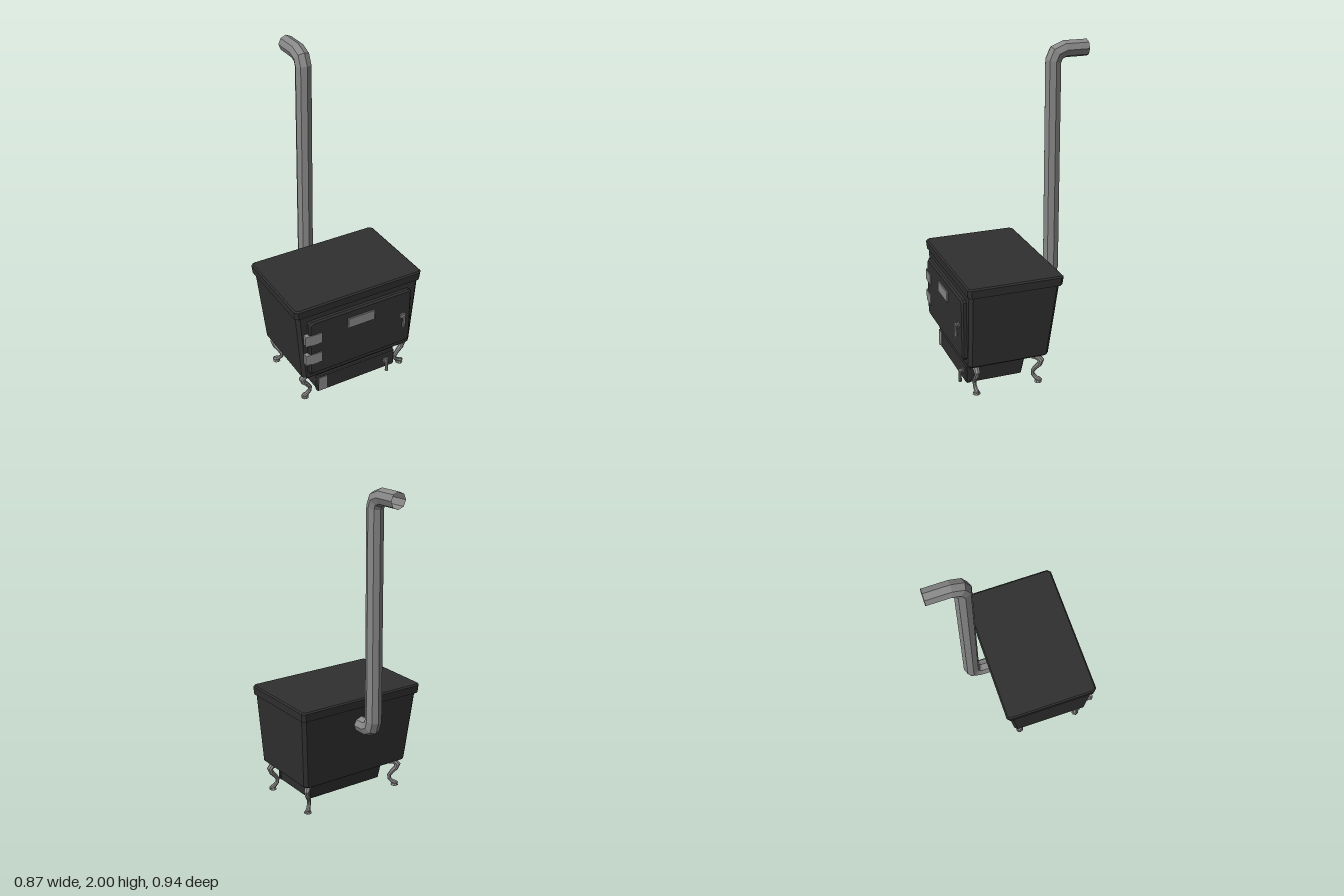
import * as THREE from 'three';

const iron = new THREE.MeshStandardMaterial({ color: 0x303030, flatShading: true });
iron.name = 'blackIron';
const steel = new THREE.MeshStandardMaterial({ color: 0x888888, flatShading: true, side: THREE.DoubleSide });
steel.name = 'greySteel';

// Skin a list of equal-sized rings, counter-clockwise seen from the advancing end
function skin(rings, capped = true) {
  const n = rings[0].length, index = [];
  rings.forEach((_, i) => {
    if (i === rings.length - 1) return;
    for (let j = 0; j < n; j++) {
      const a = i * n + j, b = i * n + (j + 1) % n;
      index.push(a, b, b + n, a, b + n, a + n);
    }
  });
  const last = (rings.length - 1) * n;
  if (capped) for (let j = 1; j < n - 1; j++) {
    index.push(0, j + 1, j, last, last + j, last + j + 1);
  }
  const g = new THREE.BufferGeometry();
  g.setAttribute('position', new THREE.Float32BufferAttribute(rings.flat(2), 3));
  g.setIndex(index);
  const flat = g.toNonIndexed();
  flat.computeVertexNormals();
  return flat;
}

// Horizontal rectangle with cut corners
function rect(y, hx, z0, z1, c) {
  return [[c - hx, z1], [hx - c, z1], [hx, z1 - c], [hx, z0 + c],
    [hx - c, z0], [c - hx, z0], [-hx, z0 + c], [-hx, z1 - c]].map(([x, z]) => [x, y, z]);
}

// Mitred sweep of a polygon along points [x, y, radius] in the xy plane
function sweep(points, sides, capped) {
  const dir = (a, b) => new THREE.Vector2(b[0] - a[0], b[1] - a[1]).normalize();
  const rings = points.map((p, i) => {
    const before = i ? dir(points[i - 1], p) : dir(p, points[1]);
    const after = i < points.length - 1 ? dir(p, points[i + 1]) : before;
    const t = before.clone().add(after).normalize();
    const miter = 1 / Math.max(0.7, t.dot(after));
    return Array.from({ length: sides }, (_, j) => {
      const a = j / sides * Math.PI * 2, u = Math.cos(a) * p[2] * miter;
      return [p[0] - t.y * u, p[1] + t.x * u, Math.sin(a) * p[2]];
    });
  });
  return skin(rings, capped);
}

export function createModel() {
  const root = new THREE.Group();
  const add = (name, geo, mat, x = 0, y = 0, z = 0, parent = root) => {
    const m = new THREE.Mesh(geo, mat);
    m.name = name;
    m.position.set(x, y, z);
    parent.add(m);
    return m;
  };
  // Bevelled plate facing +z, its back on z
  const plate = (name, mat, x, y, z, w, h, d, bevel, c) => {
    const m = add(name, skin([
      rect(0, w / 2, -h / 2, h / 2, c),
      rect(d - bevel, w / 2, -h / 2, h / 2, c),
      rect(d, w / 2 - bevel, bevel - h / 2, h / 2 - bevel, c),
    ]), mat, x, y, z);
    m.rotation.x = Math.PI / 2;
    return m;
  };

  // Firebox with flared sides and sloping underside
  add('firebox', skin([
    rect(0.16, 0.29, 0.0, 0.36, 0.02),
    rect(0.19, 0.37, -0.09, 0.4, 0.02),
    rect(0.2, 0.38, -0.097, 0.406, 0.02),
    rect(0.665, 0.42, -0.147, 0.408, 0.02),
  ]), iron);

  // Overhanging top
  add('topPlate', skin([
    rect(0.657, 0.43, -0.163, 0.417, 0.02),
    rect(0.707, 0.434, -0.168, 0.421, 0.02),
    rect(0.715, 0.425, -0.159, 0.412, 0.015),
  ]), iron);

  // Ash drawer beneath
  add('ashBox', skin([
    rect(0.04, 0.265, 0.037, 0.37, 0.005),
    rect(0.17, 0.28, 0.015, 0.37, 0.005),
  ]), iron);
  plate('ashDoor', iron, 0, 0.098, 0.365, 0.55, 0.118, 0.025, 0.006, 0.008);
  add('ashDoorHinge', new THREE.BoxGeometry(0.055, 0.095, 0.009), steel, -0.24, 0.1, 0.39);

  // Fire door and fittings
  plate('fireDoor', iron, 0, 0.427, 0.4, 0.704, 0.382, 0.036, 0.01, 0.016);
  plate('doorPlate', steel, -0.003, 0.53, 0.435, 0.185, 0.07, 0.009, 0.003, 0.004);
  for (const y of [0.355, 0.495]) {
    const hinge = add('doorHinge', new THREE.BoxGeometry(0.108, 0.07, 0.01), steel, -0.325, y, 0.435);
    hinge.rotation.y = -0.06;
    add('hingeKnuckle', new THREE.BoxGeometry(0.025, 0.07, 0.03), steel, -0.363, y, 0.421);
  }

  // Latch handles: hub, spindle and hanging lever
  for (const [name, x, y, z] of [['doorHandle', 0.292, 0.445, 0.435], ['ashHandle', 0.21, 0.097, 0.388]]) {
    const handle = new THREE.Group();
    handle.name = name;
    handle.position.set(x, y, z);
    root.add(handle);
    const hub = add('handleHub', new THREE.CylinderGeometry(0.02, 0.02, 0.008, 8), steel, 0, 0, 0.003, handle);
    const spindle = add('handleSpindle', new THREE.CylinderGeometry(0.01, 0.01, 0.028, 8), steel, 0, 0, 0.014, handle);
    hub.rotation.x = spindle.rotation.x = Math.PI / 2;
    add('handleLever', new THREE.CylinderGeometry(0.009, 0.011, 0.08, 8), steel, 0, -0.031, 0.021, handle);
  }

  // Stovepipe with two elbows, open at the end
  const pipe = [[0.1, 0.54], [0.205, 0.54], [0.245, 0.56], [0.26, 0.605],
    [0.26, 1.885], [0.28, 1.93], [0.33, 1.95], [0.47, 1.95]].map(([u, v]) => [u, v, 0.05]);
  add('stovepipe', sweep(pipe, 8, false), steel).rotation.y = Math.PI / 2;

  // S-curved legs; the rear pair splay diagonally
  const leg = [[-0.005, 0.168, 0.02], [0.03, 0.166, 0.02], [0.048, 0.148, 0.018],
    [0.038, 0.12, 0.016], [0.012, 0.092, 0.014], [-0.005, 0.066, 0.012],
    [-0.003, 0.042, 0.012], [0.015, 0.024, 0.013], [0.035, 0.016, 0.015], [0.052, 0.014, 0.008]];
  const legGeo = sweep(leg, 8, true);
  const footGeo = new THREE.CylinderGeometry(0.018, 0.024, 0.014, 8);
  for (const s of [1, -1]) {
    for (const [name, z, turn] of [['frontLeg', 0.35, 0], ['rearLeg', -0.025, Math.PI / 4]]) {
      const g = new THREE.Group();
      g.name = name;
      g.position.set(s * 0.312, 0, z);
      g.rotation.y = s > 0 ? turn : Math.PI - turn;
      add('legCurve', legGeo, steel, 0, 0, 0, g);
      add('foot', footGeo, steel, 0.03, 0.007, 0, g);
      root.add(g);
    }
  }
  return root;
}
